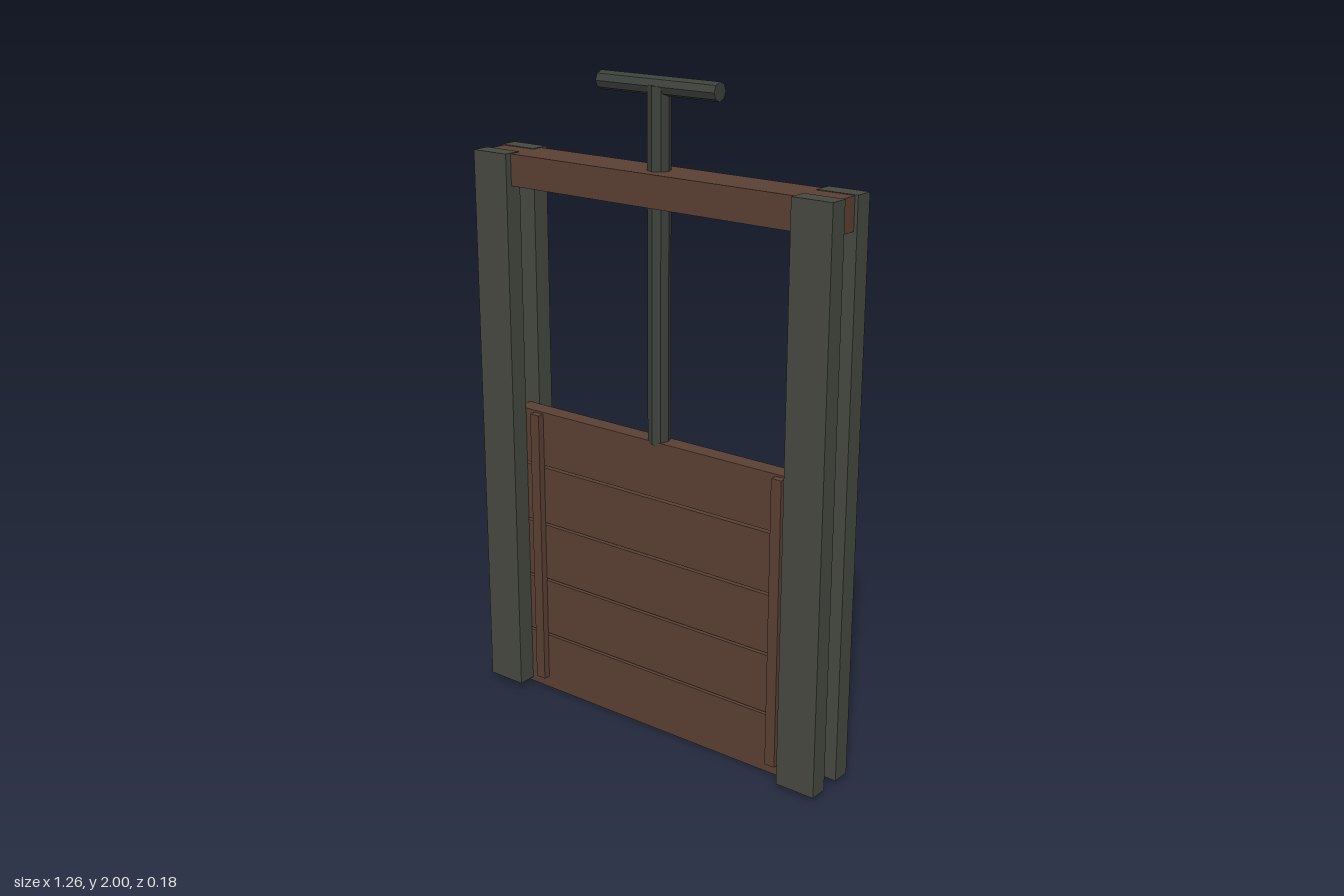
import * as THREE from 'three';

export function createModel() {
  const group = new THREE.Group();
  group.name = 'sluiceGate';

  const material = (name, color, flatShading = false) => {
    const m = new THREE.MeshStandardMaterial({ color, flatShading });
    m.name = name;
    return m;
  };
  const wood = material('brown wood', 0x5a4033);
  const postGrey = material('grey post', 0x45483f);
  const iron = material('dark iron', 0x3c403a, true);

  const add = (name, geometry, mat, x, y, z) => {
    const mesh = new THREE.Mesh(geometry, mat);
    mesh.name = name;
    mesh.position.set(x, y, z);
    group.add(mesh);
    return mesh;
  };
  // Box given by its lower and upper corners
  const box = (name, mat, [x0, y0, z0], [x1, y1, z1]) =>
    add(name, new THREE.BoxGeometry(x1 - x0, y1 - y0, z1 - z0), mat,
      (x0 + x1) / 2, (y0 + y1) / 2, (z0 + z1) / 2);

  // Paired posts, leaving a slot for the gate on each side
  for (const sx of [-1, 1]) {
    for (const sz of [-1, 1]) {
      add((sz > 0 ? 'front' : 'back') + (sx > 0 ? 'Left' : 'Right') + 'Post',
        new THREE.BoxGeometry(0.128, 1.727, 0.058), postGrey,
        sx * 0.564, 0.8785, sz * 0.06);
    }
  }

  // Top beam let in between the posts
  box('crossBeam', wood, [-0.618, 1.645, -0.068], [0.618, 1.74, 0.068]);

  // Gate boards with narrow gaps
  const edges = [0, 0.191, 0.383, 0.574, 0.766, 0.948];
  for (let i = 0; i < 5; i++) {
    box('gateBoard' + (i + 1), wood,
      [-0.535, edges[i] + (i ? 0.004 : 0), -0.028],
      [0.535, edges[i + 1] - 0.004, 0.028]);
  }

  // Upright battens on the front of the gate
  for (const sx of [-1, 1]) {
    add(sx > 0 ? 'leftBatten' : 'rightBatten',
      new THREE.BoxGeometry(0.034, 0.9, 0.024), wood, sx * 0.449, 0.488, 0.038);
  }

  // Lifting rod and its T handle
  add('liftingRod', new THREE.CylinderGeometry(0.034, 0.034, 1.04, 8), iron, 0, 1.455, 0);
  add('handle', new THREE.CylinderGeometry(0.027, 0.027, 0.412, 8), iron, 0, 1.973, 0)
    .rotation.z = Math.PI / 2;

  return group;
}
